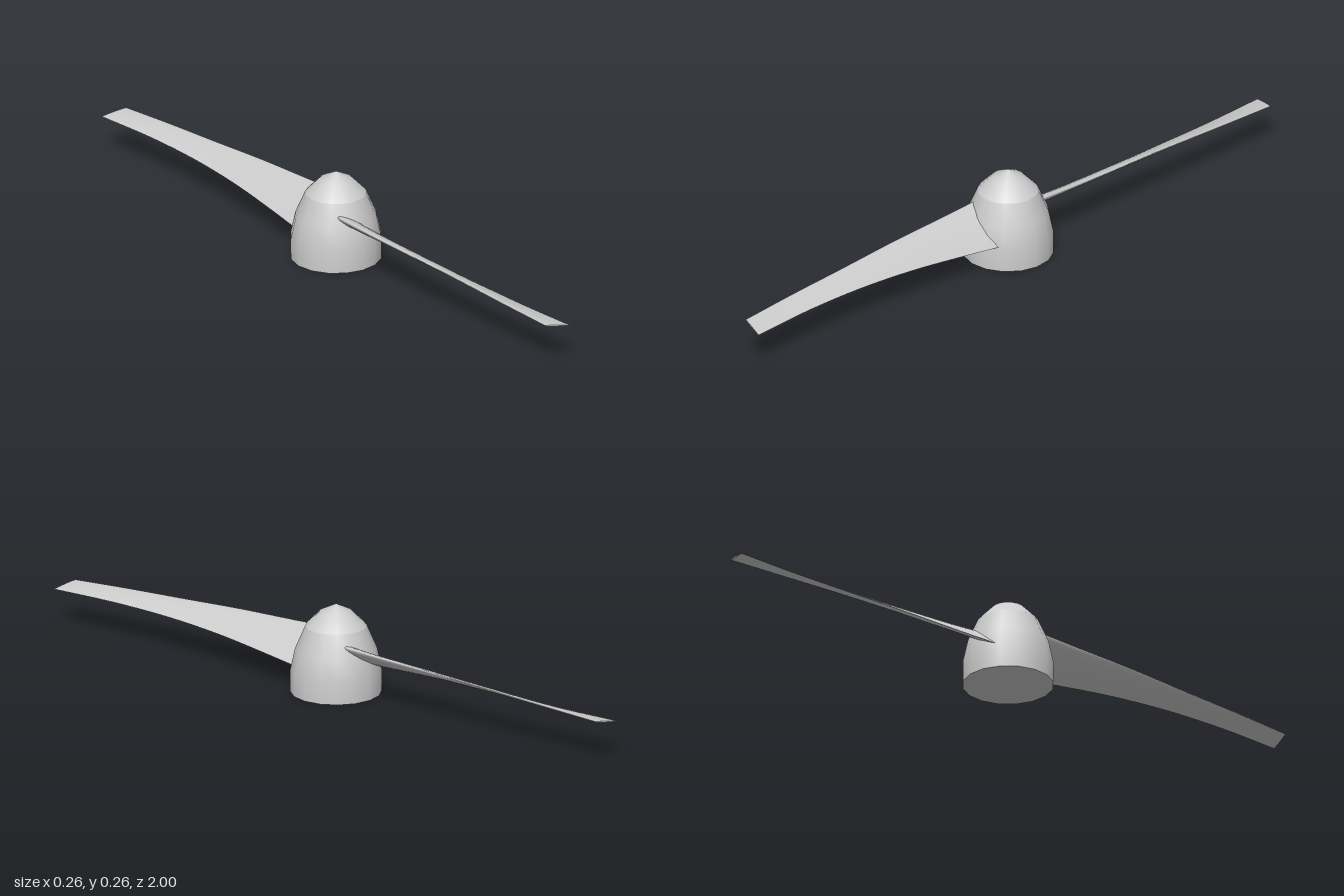
import * as THREE from 'three';

const material = new THREE.MeshStandardMaterial({ color: 0xcccccc });
const v3 = (p) => new THREE.Vector3(...p);

function lathe(name, profile) {
  const points = profile.map(([r, y]) => new THREE.Vector2(r, y));
  const mesh = new THREE.Mesh(new THREE.LatheGeometry(points, 16), material);
  mesh.name = name;
  return mesh;
}

// Twisted, tapering blade lofted between a leading and a trailing edge curve
function bladeGeometry() {
  const leading = new THREE.CatmullRomCurve3([
    [-0.056, 0.163, 0.07], [-0.046, 0.157, 0.2], [-0.03, 0.15, 0.4],
    [-0.011, 0.14, 0.6], [0.006, 0.13, 0.8], [0.025, 0.12, 0.985],
  ].map(v3));
  const trailing = new THREE.CatmullRomCurve3([
    [0.081, 0.073, 0.07], [0.073, 0.083, 0.2], [0.066, 0.098, 0.4],
    [0.067, 0.106, 0.6], [0.079, 0.108, 0.8], [0.103, 0.107, 1],
  ].map(v3));
  const stations = 20, half = 12, ring = 2 * half + 1;
  const positions = [], indices = [];
  for (let i = 0; i <= stations; i++) {
    const t = i / stations;
    const a = leading.getPoint(t), b = trailing.getPoint(t);
    const chord = b.clone().sub(a);
    const up = new THREE.Vector3(-chord.y, chord.x, 0).normalize();
    const thickness = THREE.MathUtils.lerp(0.026, 0.004, Math.pow(t, 0.7));
    for (let j = 0; j < ring; j++) {
      const angle = (j / half) * Math.PI;
      const u = (1 + Math.cos(angle)) / 2;
      // Rounded nose, sharp trailing edge
      const h = thickness * 1.3 * Math.sqrt(u) * (1 - u) * Math.sign(Math.sin(angle));
      const p = a.clone().addScaledVector(chord, u);
      if (j % half) p.addScaledVector(up, h);
      positions.push(p.x, p.y, p.z);
      if (i < stations && j < ring - 1) {
        const k = i * ring + j;
        indices.push(k, k + 1, k + ring, k + 1, k + ring + 1, k + ring);
      }
    }
  }
  // Tip cap on its own vertices so the end stays crisp
  const start = stations * ring, cap = positions.length / 3;
  positions.push(...positions.slice(start * 3));
  for (let j = 1; j < ring - 2; j++) indices.push(cap, cap + j, cap + j + 1);

  const geometry = new THREE.BufferGeometry();
  geometry.setAttribute('position', new THREE.Float32BufferAttribute(positions, 3));
  geometry.setIndex(indices);
  geometry.computeVertexNormals();
  return geometry;
}

export function createModel() {
  const model = new THREE.Group();
  model.name = 'propeller';

  // Hub and pointed spinner
  model.add(lathe('hub', [[0.131, 0], [0.131, 0.065], [0.117, 0.13], [0.088, 0.197]]));
  model.add(lathe('spinnerNose', [[0.088, 0.197], [0.046, 0.24], [0, 0.262]]));

  // Flat underside
  const base = new THREE.Mesh(new THREE.CircleGeometry(0.131, 16), material);
  base.name = 'hubBase';
  base.rotation.x = Math.PI / 2;
  model.add(base);

  // Two opposite blades
  const geometry = bladeGeometry();
  ['frontBlade', 'backBlade'].forEach((name, i) => {
    const blade = new THREE.Mesh(geometry, material);
    blade.name = name;
    blade.rotation.y = i * Math.PI;
    model.add(blade);
  });
  return model;
}
